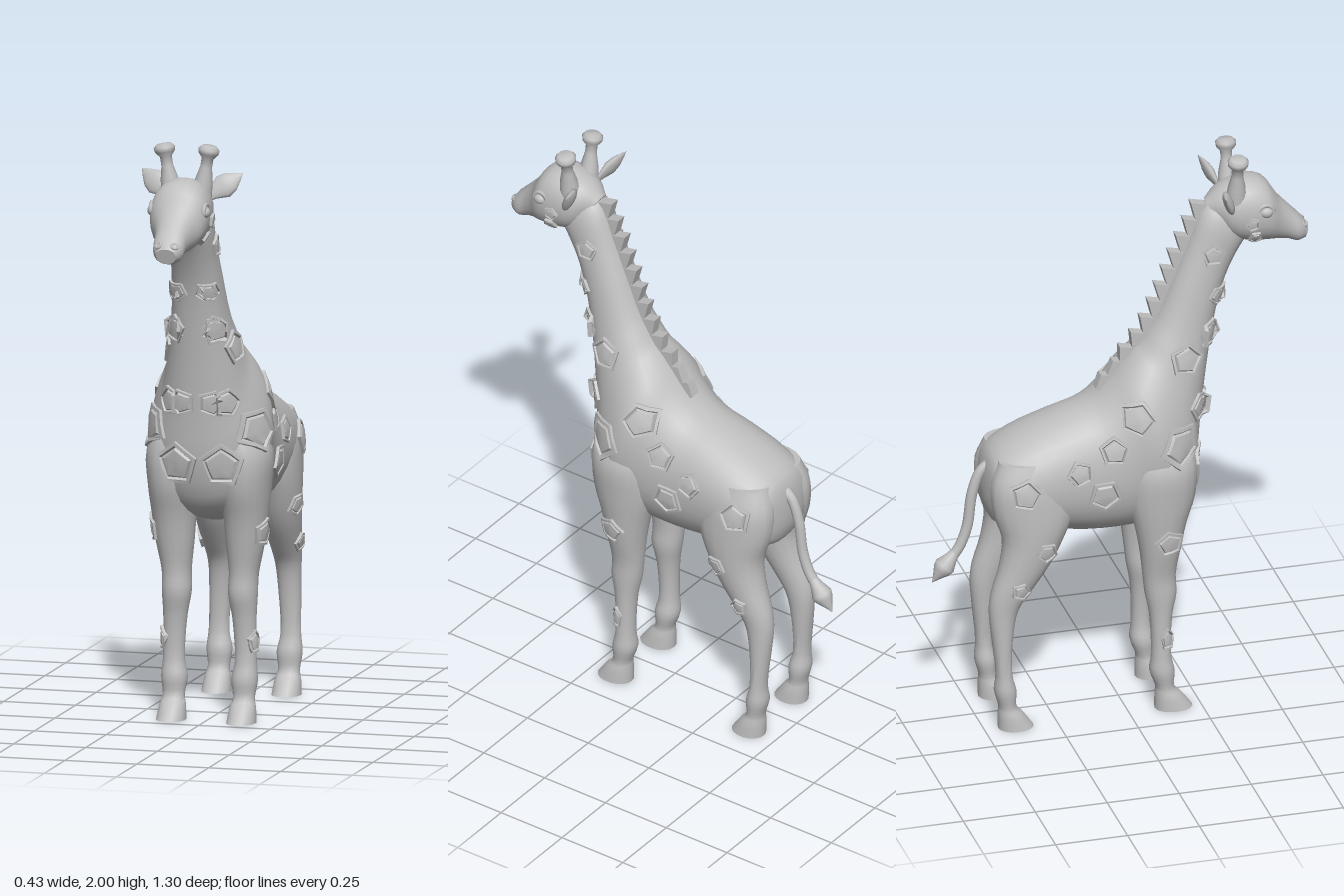
import * as THREE from 'three';
import { toCreasedNormals } from 'three/addons/utils/BufferGeometryUtils.js';

const hide = new THREE.MeshStandardMaterial({ color: 0xbfbfbf });
hide.name = 'plain grey';

function part(name, geo, parent) {
  const m = new THREE.Mesh(geo, hide);
  m.name = name;
  parent.add(m);
  return m;
}

// Smooth tube through sections [zA, yA, zB, yB, halfWidth, centreX]; A and B are opposite profile points
function loft(sections, sub = 3, sides = 24, power = 0.9) {
  const A = new THREE.CatmullRomCurve3(sections.map(s => new THREE.Vector3(s[4], s[1], s[0])));
  const B = new THREE.CatmullRomCurve3(sections.map(s => new THREE.Vector3(s[5] || 0, s[3], s[2])));
  const n = (sections.length - 1) * sub, pos = [], idx = [];
  const soft = v => Math.sign(v) * Math.pow(Math.abs(v), power);
  for (let i = 0; i <= n; i++) {
    const a = A.getPoint(i / n), b = B.getPoint(i / n);
    for (let j = 0; j < sides; j++) {
      const t = j / sides * Math.PI * 2, c = soft(Math.cos(t)), s = soft(Math.sin(t));
      pos.push(b.x + a.x * s, (a.y + b.y) / 2 + (a.y - b.y) / 2 * c, (a.z + b.z) / 2 + (a.z - b.z) / 2 * c);
      if (i < n) {
        const p = i * sides + j, q = i * sides + (j + 1) % sides;
        idx.push(p, p + sides, q, q, p + sides, q + sides);
      }
    }
  }
  // End caps
  for (const i of [0, n]) {
    const a = A.getPoint(i / n), b = B.getPoint(i / n), c = pos.length / 3;
    pos.push(b.x, (a.y + b.y) / 2, (a.z + b.z) / 2);
    for (let j = 0; j < sides; j++) {
      const p = i * sides + j, q = i * sides + (j + 1) % sides;
      if (i === 0) idx.push(c, p, q); else idx.push(c, q, p);
    }
  }
  const g = new THREE.BufferGeometry();
  g.setAttribute('position', new THREE.Float32BufferAttribute(pos, 3));
  g.setIndex(idx);
  return toCreasedNormals(g, 0.8);
}

// Lathe leaf or knob placed from a base point along a direction
function lathe(profile, base, dir, flat = 1, sides = 14) {
  const g = new THREE.LatheGeometry(profile.map(p => new THREE.Vector2(p[0], p[1])), sides);
  g.scale(1, 1, flat);
  g.applyQuaternion(new THREE.Quaternion().setFromUnitVectors(new THREE.Vector3(0, 1, 0), new THREE.Vector3(...dir).normalize()));
  return g.translate(...base);
}

// Raised pentagon patch that follows the skin; facing is +1/-1 for the sides, 0 for the chest
function patch(skin, facing, u, v, r, turn, stretch) {
  const ray = new THREE.Raycaster(), sides = 10, pos = [], idx = [];
  const dir = facing ? new THREE.Vector3(-facing, 0, 0) : new THREE.Vector3(0, 0, -1);
  const hit = (a, b) => {
    ray.set(facing ? new THREE.Vector3(facing, b, a) : new THREE.Vector3(a, b, 1), dir);
    return ray.intersectObjects(skin, false)[0];
  };
  const mid = hit(u, v);
  if (!mid) return null;
  const rings = [[1, -0.006], [0.97, 0.01], [0.8, 0.01], [0.72, 0.002], [0.62, 0.009], [0.3, 0.01], [0, 0.01]];
  rings.forEach(([k, lift], i) => {
    for (let j = 0; j < sides; j++) {
      const t = turn + j / sides * Math.PI * 2, d = r * k * (j % 2 ? 0.81 : 1);
      const across = d * Math.cos(t) * (facing ? -facing : 1), up = d * Math.sin(t) * stretch;
      const h = hit(u + across, v + up);
      const ok = h && Math.abs(h.distance - mid.distance) < r * 1.1;
      const p = ok ? h.point.clone() : mid.point.clone().add(facing ? new THREE.Vector3(-facing * 0.02, up, across) : new THREE.Vector3(across, up, -0.02));
      p.addScaledVector((ok ? h : mid).face.normal, lift);
      pos.push(p.x, p.y, p.z);
      if (i < rings.length - 1) {
        const a = i * sides + j, b = i * sides + (j + 1) % sides;
        idx.push(a, b, a + sides);
        if (i < rings.length - 2) idx.push(b, b + sides, a + sides);
      }
    }
  });
  const g = new THREE.BufferGeometry();
  g.setAttribute('position', new THREE.Float32BufferAttribute(pos, 3));
  g.setIndex(idx);
  return toCreasedNormals(g, 0.5);
}

export function createModel() {
  const root = new THREE.Group();
  root.name = 'giraffe';
  const skin = [];

  // Trunk and neck, rump to nape
  skin.push(part('bodyAndNeck', loft([
    [-0.47, 0.92, -0.475, 0.81, 0.06], [-0.445, 0.985, -0.45, 0.74, 0.145],
    [-0.36, 1.04, -0.36, 0.71, 0.178], [-0.22, 1.095, -0.22, 0.68, 0.182],
    [-0.11, 1.135, -0.08, 0.66, 0.18], [-0.05, 1.19, 0.08, 0.67, 0.192],
    [0, 1.25, 0.2, 0.73, 0.208], [0.04, 1.295, 0.255, 0.87, 0.178],
    [0.07, 1.325, 0.275, 1.03, 0.142], [0.1, 1.37, 0.295, 1.19, 0.118],
    [0.13, 1.42, 0.315, 1.32, 0.1], [0.19, 1.56, 0.345, 1.47, 0.085],
    [0.24, 1.68, 0.38, 1.57, 0.077], [0.285, 1.79, 0.43, 1.66, 0.075], [0.33, 1.83, 0.47, 1.7, 0.06],
  ], 3, 32), root));

  // Head, nape to lips
  skin.push(part('head', loft([
    [0.3, 1.82, 0.36, 1.71, 0.045], [0.35, 1.865, 0.39, 1.68, 0.085],
    [0.43, 1.895, 0.45, 1.66, 0.1], [0.5, 1.88, 0.51, 1.655, 0.097],
    [0.55, 1.81, 0.55, 1.65, 0.07], [0.59, 1.765, 0.585, 1.642, 0.056],
    [0.63, 1.722, 0.615, 1.632, 0.052], [0.655, 1.688, 0.64, 1.637, 0.034],
  ], 3, 24), root));

  // Leg sections: front z, back z, y, centre x, half width
  const foreLeg = [
    [0.21, 0, 1.02, 0.1, 0.06], [0.235, -0.01, 0.92, 0.125, 0.088], [0.23, -0.005, 0.8, 0.125, 0.085],
    [0.2, 0.02, 0.7, 0.125, 0.075], [0.18, 0.04, 0.6, 0.122, 0.065], [0.165, 0.052, 0.5, 0.117, 0.05],
    [0.168, 0.06, 0.43, 0.115, 0.05], [0.152, 0.075, 0.35, 0.12, 0.041], [0.147, 0.08, 0.2, 0.125, 0.037],
    [0.16, 0.075, 0.14, 0.122, 0.045], [0.158, 0.095, 0.08, 0.122, 0.037], [0.185, 0.093, 0.05, 0.122, 0.044],
    [0.222, 0.092, 0, 0.122, 0.05],
  ];
  const hindLeg = [
    [-0.24, -0.44, 0.98, 0.09, 0.065], [-0.2, -0.47, 0.9, 0.1, 0.083], [-0.18, -0.465, 0.8, 0.105, 0.085],
    [-0.22, -0.435, 0.7, 0.112, 0.078], [-0.27, -0.445, 0.6, 0.115, 0.066], [-0.34, -0.475, 0.5, 0.117, 0.051],
    [-0.38, -0.482, 0.44, 0.117, 0.044], [-0.4, -0.475, 0.35, 0.12, 0.039], [-0.405, -0.46, 0.2, 0.125, 0.035],
    [-0.39, -0.465, 0.14, 0.122, 0.044], [-0.39, -0.45, 0.08, 0.122, 0.037], [-0.365, -0.452, 0.05, 0.122, 0.044],
    [-0.33, -0.452, 0, 0.122, 0.05],
  ];
  for (const s of [1, -1]) {
    const side = s > 0 ? 'left' : 'right';
    const leg = rows => loft(rows.map(([f, b, y, x, w]) => [f, y, b, y, w, s * x]), 3, 18, 0.95);
    skin.push(part(side + 'ForeLeg', leg(foreLeg), root));
    skin.push(part(side + 'HindLeg', leg(hindLeg), root));

    // Horns with knobbed ends
    part(side + 'Horn', lathe([[0.036, -0.03], [0.03, 0.03], [0.02, 0.075], [0.02, 0.105], [0.034, 0.122],
      [0.036, 0.137], [0.026, 0.148], [0, 0.15]], [s * 0.055, 1.853, 0.395], [s * 0.17, 1, 0]), root);

    // Leaf-shaped ears
    part(side + 'Ear', lathe([[0.012, -0.02], [0.022, 0.015], [0.042, 0.055], [0.036, 0.085], [0.016, 0.115], [0, 0.135]],
      [s * 0.072, 1.825, 0.37], [s * 0.105, 0.075, -0.045], 0.4), root);

    // Eyes, brows and nostrils
    part(side + 'Eye', new THREE.SphereGeometry(0.021, 14, 10).scale(0.8, 0.9, 1.1).translate(s * 0.092, 1.79, 0.49), root);
    part(side + 'Brow', new THREE.TorusGeometry(0.026, 0.008, 6, 14, Math.PI).rotateY(Math.PI / 2).translate(s * 0.092, 1.79, 0.487), root);
    part(side + 'Nostril', new THREE.TorusGeometry(0.01, 0.005, 6, 12).rotateX(-0.7).rotateY(s * 0.6).translate(s * 0.028, 1.698, 0.64), root);
  }

  // Saw-toothed mane down the back of the neck
  const crest = new THREE.SplineCurve([[0.3, 1.81], [0.24, 1.68], [0.19, 1.56], [0.13, 1.42], [0.07, 1.325], [0, 1.25], [-0.075, 1.165]]
    .map(p => new THREE.Vector2(...p)));
  const teeth = 12, saw = new THREE.Shape();
  for (let i = 0; i < teeth; i++) {
    const p = crest.getPointAt(i / teeth), q = crest.getPointAt((i + 0.9) / teeth);
    if (i === 0) saw.moveTo(p.x, p.y); else saw.lineTo(p.x, p.y);
    const k = i > 9 ? 0.6 : 1;
    saw.lineTo(p.x - 0.052 * k, p.y + 0.012 * k);
    saw.lineTo(q.x - 0.012, q.y);
  }
  for (let i = teeth; i >= 0; i--) {
    const p = crest.getPointAt(i / teeth);
    saw.lineTo(p.x + 0.035, p.y - 0.025);
  }
  part('mane', new THREE.ExtrudeGeometry(saw, { depth: 0.036, bevelEnabled: false }).rotateY(-Math.PI / 2).translate(0.018, 0, 0), root);

  // Tail with a pointed tuft
  const tailPath = new THREE.CatmullRomCurve3([[0.94, -0.44], [0.91, -0.478], [0.83, -0.508], [0.71, -0.525], [0.64, -0.55], [0.595, -0.58]]
    .map(([y, z]) => new THREE.Vector3(0, y, z)));
  part('tail', new THREE.TubeGeometry(tailPath, 28, 0.018, 10), root);
  part('tailTuft', lathe([[0.015, -0.02], [0.022, 0.01], [0.036, 0.045], [0.03, 0.065], [0.012, 0.095], [0, 0.118]],
    [0, 0.605, -0.575], [0, -0.1, -0.078]), root);

  // Coat patches: z, y, radius, turn, vertical stretch
  const sidePatches = [
    [0.31, 1.645, 0.042], [0.325, 1.49, 0.035], [0.3, 1.36, 0.035, 0, 1.2], [0.205, 1.285, 0.062],
    [0.255, 1.1, 0.045, 0, 1.2], [0.165, 1, 0.08], [0.02, 1.115, 0.068], [-0.06, 1.005, 0.055],
    [-0.18, 0.94, 0.05], [-0.095, 0.85, 0.062], [-0.37, 0.885, 0.062], [0.125, 0.645, 0.052],
    [-0.3, 0.665, 0.04], [-0.385, 0.525, 0.035], [0.125, 0.27, 0.022, 0, 2],
    [0.44, 1.755, 0.026], [0.455, 1.7, 0.024],
  ];
  // Front patches: x, y, radius
  const frontPatches = [[0.078, 0.885, 0.08], [0.05, 1.1, 0.05], [0.045, 1.49, 0.036], [0.07, 1.355, 0.042, 0, 1.3]];
  const patches = new THREE.Group();
  patches.name = 'coatPatches';
  const add = (facing, list, mirror) => list.forEach(([u, v, r, turn = 0, stretch = 1], i) => {
    const a = Math.PI / 2 + turn + i * 0.9;
    const g = patch(skin, facing, u * mirror, v, r, facing < 0 || mirror < 0 ? Math.PI - a : a, stretch);
    if (g) part('coatPatch', g, patches);
  });
  for (const s of [1, -1]) {
    add(s, sidePatches, 1);
    add(0, frontPatches, s);
  }
  root.add(patches);
  return root;
}
